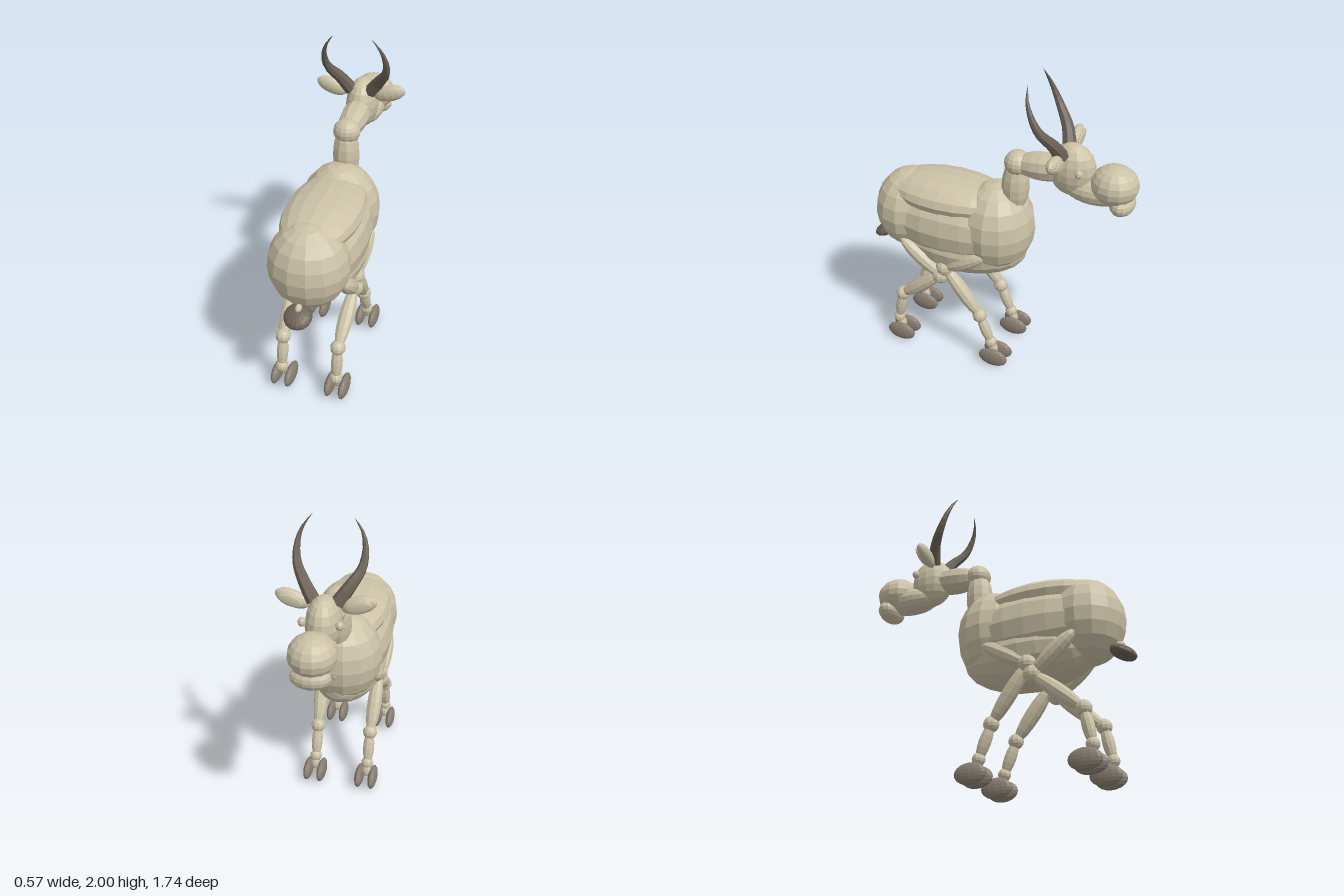
import * as THREE from 'three';

const mat = (name, color) => {
  const m = new THREE.MeshStandardMaterial({ color, flatShading: true });
  m.name = name;
  return m;
};

export function createModel() {
  const hide = mat('hide', 0xcbc2a6);
  const hoofMat = mat('hoof', 0x8a7f73);
  const hornMat = mat('horn', 0x6b6156);
  const root = new THREE.Group();
  root.name = 'hornedAnimal';

  const add = (name, geo, material) => {
    const mesh = new THREE.Mesh(geo, material);
    mesh.name = name;
    root.add(mesh);
    return mesh;
  };

  // Low-poly ellipsoid: centre, radii, optional rotation
  const blob = (name, c, r, material = hide, rot = [0, 0, 0], ws = 14, hs = 10) => {
    const geo = new THREE.SphereGeometry(1, ws, hs);
    geo.scale(...r);
    const mesh = add(name, geo, material);
    mesh.position.set(...c);
    mesh.rotation.set(...rot);
    return mesh;
  };

  // Ellipsoid whose poles lie along z
  const longBlob = (name, c, rx, ry, rz) =>
    blob(name, c, [rx, rz, ry], hide, [Math.PI / 2, 0, 0], 16, 12);

  // Rounded limb stretched between two joints
  const limb = (name, a, b, r) => {
    const p = new THREE.Vector3(...a), q = new THREE.Vector3(...b);
    const d = q.clone().sub(p);
    const geo = new THREE.SphereGeometry(1, 10, 10);
    geo.scale(r, d.length() * 0.54, r);
    const mesh = add(name, geo, hide);
    mesh.position.copy(p).add(q).multiplyScalar(0.5);
    mesh.quaternion.setFromUnitVectors(new THREE.Vector3(0, 1, 0), d.normalize());
  };

  // Body
  blob('rump', [0, 0.96, 0.59], [0.245, 0.268, 0.23]);
  blob('chest', [0, 0.97, -0.005], [0.25, 0.297, 0.24]);
  longBlob('barrel', [0, 0.95, 0.28], 0.262, 0.27, 0.52);
  longBlob('back', [0, 1.13, 0.31], 0.235, 0.12, 0.42);
  longBlob('belly', [0, 0.8, 0.23], 0.24, 0.205, 0.43);

  // Tail
  blob('tail', [0, 0.73, 0.795], [0.085, 0.04, 0.085], hornMat, [0.45, 0, 0]);
  blob('tailRoot', [0, 0.78, 0.78], [0.02, 0.025, 0.03]);

  // Neck
  limb('lowerNeck', [0, 1.1, -0.12], [0, 1.45, -0.13], 0.085);
  blob('neckJoint', [0, 1.435, -0.135], [0.085, 0.077, 0.08]);
  limb('upperNeck', [0, 1.43, -0.13], [0, 1.46, -0.47], 0.088);

  // Head
  blob('cranium', [0, 1.467, -0.475], [0.102, 0.165, 0.142]);
  blob('snout', [0, 1.42, -0.73], [0.137, 0.12, 0.142]);
  longBlob('jaw', [0, 1.36, -0.62], 0.1, 0.085, 0.19);
  blob('chin', [0, 1.315, -0.785], [0.115, 0.07, 0.075]);

  for (const [s, side] of [[1, 'left'], [-1, 'right']]) {
    // Eyes and ears
    blob(side + 'Eye', [s * 0.105, 1.5, -0.545], [0.024, 0.027, 0.025], hide, [0, 0, 0], 8, 6);
    blob(side + 'Ear', [s * 0.185, 1.575, -0.428], [0.105, 0.052, 0.038], hide, [0, 0, s * 0.3]);
    blob(side + 'InnerEar', [s * 0.19, 1.575, -0.462], [0.075, 0.034, 0.01], hide, [0, 0, s * 0.3]);

    // Curved horn: a tube narrowed towards its tip
    const curve = new THREE.CatmullRomCurve3([
      [0.065, 1.57, -0.43], [0.125, 1.66, -0.395], [0.182, 1.75, -0.33],
      [0.19, 1.85, -0.28], [0.165, 1.93, -0.25], [0.115, 2.0, -0.235],
    ].map(([x, y, z]) => new THREE.Vector3(s * x, y, z)));
    const rings = 12, sides = 8;
    const geo = new THREE.TubeGeometry(curve, rings, 0.043, sides);
    const pos = geo.attributes.position, v = new THREE.Vector3();
    for (let i = 0; i < pos.count; i++) {
      const t = Math.floor(i / (sides + 1)) / rings;
      const c = curve.getPointAt(t);
      v.fromBufferAttribute(pos, i).sub(c).multiplyScalar(1.001 - Math.pow(t, 1.2)).add(c);
      pos.setXYZ(i, v.x, v.y, v.z);
    }
    add(side + 'Horn', geo, hornMat);

    // Legs as [z, y] joints: top, upper joint, lower joint, ankle, hoof
    const legs = {
      FrontLeg: [[0.0, 0.84], [0.277, 0.68], [0.043, 0.352], [-0.035, 0.155], [-0.068, 0.065]],
      HindLeg: [[0.565, 0.825], [0.308, 0.61], [0.603, 0.365], [0.645, 0.155], [0.612, 0.065]],
    };
    const xs = [0.2, 0.187, 0.176, 0.176];
    const limbRadii = [0.052, 0.048, 0.037], jointRadii = [0, 0.058, 0.048, 0.04];
    for (const [leg, path] of Object.entries(legs)) {
      const at = (i) => [s * xs[i], path[i][1], path[i][0]];
      for (let i = 0; i < 3; i++) {
        limb(`${side}${leg}Segment${i + 1}`, at(i), at(i + 1), limbRadii[i]);
        const r = jointRadii[i + 1];
        blob(`${side}${leg}Joint${i + 1}`, at(i + 1), [r, r, r], hide, [0, 0, 0], 10, 8);
      }
      const [hz, hy] = path[4];
      limb(`${side}${leg}Pastern`, at(3), [s * 0.176, 0.07, hz], 0.03);
      // Cloven hoof halves
      for (const x of [0.13, 0.22])
        blob(`${side}${leg}Hoof`, [s * x, hy, hz], [0.03, 0.065, 0.1], hoofMat);
    }
  }
  return root;
}
